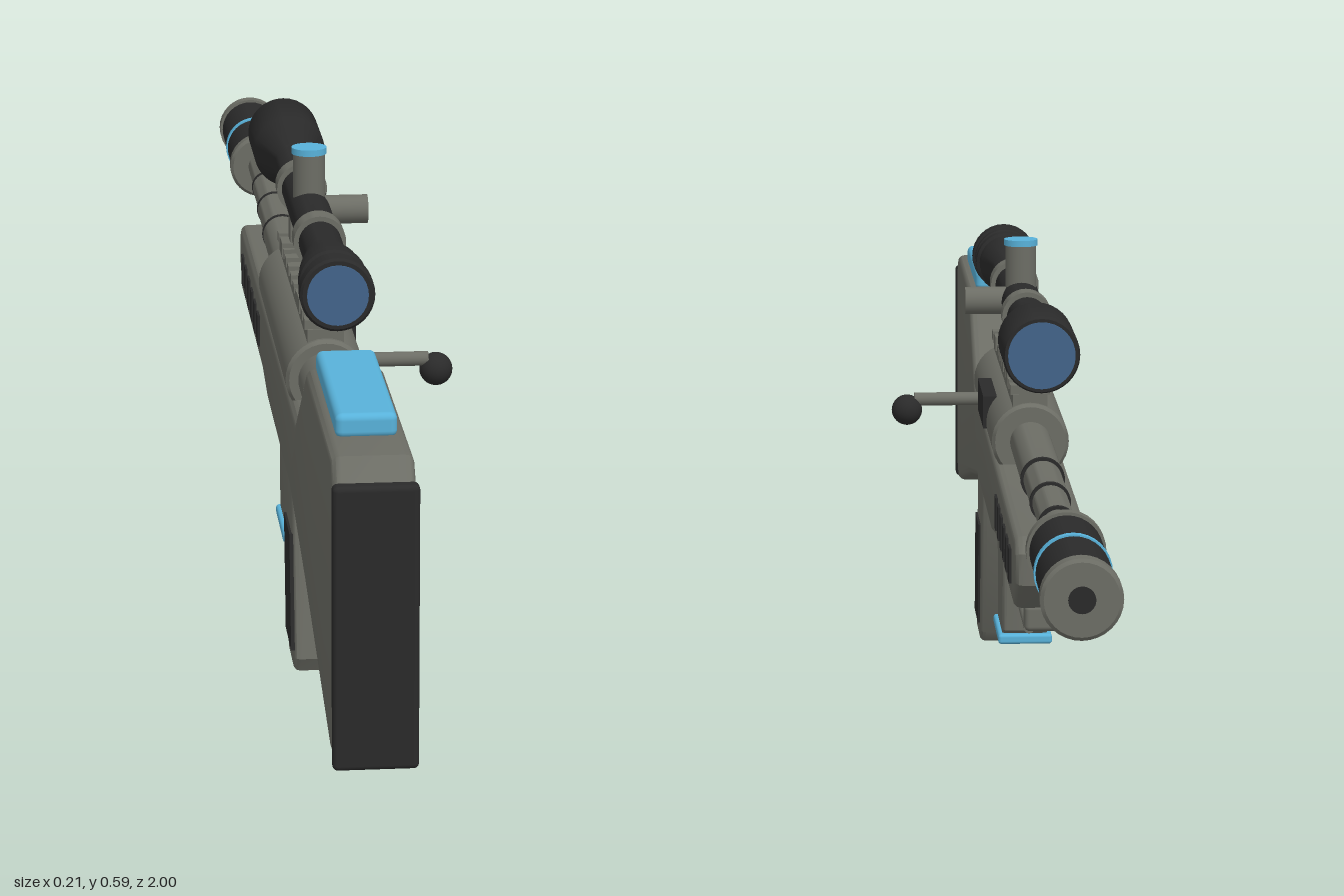
import * as THREE from 'three';
import { toCreasedNormals } from 'three/addons/utils/BufferGeometryUtils.js';
import { RoundedBoxGeometry } from 'three/addons/geometries/RoundedBoxGeometry.js';

const material = (name, color) => Object.assign(new THREE.MeshStandardMaterial({ color }), { name });

export function createModel() {
  const grey = material('gunmetal grey', 0x6c6d65);
  const black = material('matte black', 0x2a2a2a);
  const blue = material('accent blue', 0x58b2da);
  const glass = material('lens glass', 0x42648a);

  const model = new THREE.Group();
  model.name = 'rifle';
  const body = new THREE.Group();
  body.name = 'body';
  body.position.x = -0.058;
  model.add(body);

  const add = (name, geometry, mat, x = 0, y = 0, z = 0) => {
    const mesh = new THREE.Mesh(geometry, mat);
    mesh.name = name;
    mesh.position.set(x, y, z);
    body.add(mesh);
    return mesh;
  };
  // Solid turned around the z axis; profile is [z, radius] with z rising
  const turned = (name, profile, mat, y, x = 0) => {
    const first = profile[0], last = profile[profile.length - 1];
    const pts = [[first[0], 0], ...profile, [last[0], 0]].map(([z, r]) => new THREE.Vector2(r, z));
    return add(name, toCreasedNormals(new THREE.LatheGeometry(pts, 32).rotateX(Math.PI / 2), 0.6), mat, x, y);
  };
  const rod = (name, z0, z1, r, mat, y, x = 0) => turned(name, [[z0, r], [z1, r]], mat, y, x);
  // Side profile of [z, y] points, extruded across x
  const slab = (name, points, width, bevel, mat, x = 0) => {
    const shape = new THREE.Shape(points.map(([z, y]) => new THREE.Vector2(z, y)));
    const depth = width - 2 * bevel;
    const geometry = new THREE.ExtrudeGeometry(shape, {
      depth, bevelEnabled: bevel > 0, bevelSize: bevel, bevelThickness: bevel, bevelOffset: -bevel, bevelSegments: 3,
    });
    geometry.translate(0, 0, -depth / 2).rotateY(-Math.PI / 2);
    return add(name, toCreasedNormals(geometry, 0.6), mat, x);
  };
  const rounded = (name, w, h, d, r, mat, x, y, z) => add(name, new RoundedBoxGeometry(w, h, d, 3, r), mat, x, y, z);
  const box = (name, w, h, d, mat, x, y, z) => add(name, new THREE.BoxGeometry(w, h, d), mat, x, y, z);

  // Stock and fore-end in one piece
  slab('stock', [
    [0.983, 0.12], [0.983, 0.415], [0.955, 0.446], [0.62, 0.446], [0.555, 0.402], [0.455, 0.336],
    [-0.52, 0.328], [-0.537, 0.31], [-0.537, 0.272], [-0.495, 0.236], [-0.09, 0.236], [0, 0.222],
    [0.37, 0.222], [0.6, 0.18], [0.945, 0.104],
  ].reverse(), 0.09, 0.01, grey);
  rounded('recoilPad', 0.094, 0.322, 0.02, 0.006, black, 0, 0.264, 0.99);
  rounded('cheekRest', 0.068, 0.028, 0.26, 0.008, blue, 0, 0.457, 0.755);

  // Ventilation slots along both sides of the fore-end
  for (const side of [-1, 1])
    for (let i = 0; i < 6; i++) box('ventSlot', 0.005, 0.042, 0.027, black, side * 0.0455, 0.28, -0.152 - i * 0.0597);

  // Receiver, bolt and ejection port
  turned('receiver', [[-0.1, 0.045], [-0.095, 0.049], [0.365, 0.049], [0.37, 0.045]], grey, 0.36);
  turned('boltShroud', [[0.36, 0.034], [0.435, 0.034], [0.441, 0.029]], grey, 0.36);
  box('ejectionPort', 0.03, 0.042, 0.14, black, 0.038, 0.373, 0.11);
  const handle = add('boltHandle', new THREE.CylinderGeometry(0.009, 0.009, 0.1, 16), grey, 0.085, 0.352, 0.26);
  handle.rotation.z = Math.PI / 2;
  add('boltKnob', new THREE.SphereGeometry(0.0205, 24, 16), black, 0.145, 0.338, 0.258);

  // Scope rail with cross teeth
  box('railBase', 0.044, 0.018, 0.45, grey, 0, 0.411, 0.135);
  for (let i = 0; i < 11; i++) box('railTooth', 0.05, 0.012, 0.022, grey, 0, 0.425, 0.346 - i * 0.0423);

  // Stepped barrel
  const steps = [[-0.34, -0.09, 0.026], [-0.48, -0.34, 0.0235], [-0.61, -0.48, 0.0215], [-0.75, -0.61, 0.019]];
  steps.forEach(([z0, z1, r], i) => {
    rod('barrelSection', z0, z1, r, grey, 0.36);
    if (i < 3) rod('barrelRing', z0 - 0.004, z0 + 0.004, r + 0.001, black, 0.36);
  });

  // Suppressor
  turned('rearCollar', [[-0.755, 0.045], [-0.739, 0.045], [-0.735, 0.041]], grey, 0.36);
  rod('suppressor', -0.98, -0.75, 0.0415, black, 0.36);
  rod('suppressorBand', -0.867, -0.857, 0.0435, blue, 0.36);
  turned('muzzleCap', [[-0.999, 0.041], [-0.996, 0.045], [-0.978, 0.045]], grey, 0.36);
  rod('muzzleBore', -1, -0.998, 0.015, black, 0.36);

  // Scope body with ribbed eyepiece and wide objective
  const sy = 0.508;
  turned('scopeTube', [
    [-0.318, 0.045], [-0.314, 0.047], [-0.2, 0.047], [-0.125, 0.026], [0.365, 0.026], [0.425, 0.037],
    [0.455, 0.037], [0.458, 0.041], [0.475, 0.041], [0.478, 0.038], [0.488, 0.038], [0.491, 0.041],
    [0.503, 0.041], [0.505, 0.044], [0.526, 0.044], [0.529, 0.041],
  ], black, sy);
  rod('objectiveLens', -0.32, -0.317, 0.041, glass, sy);
  rod('eyepieceLens', 0.527, 0.531, 0.036, glass, sy);
  for (const z of [0.265, -0.008]) {
    rod('scopeRing', z - 0.016, z + 0.016, 0.032, grey, sy);
    box('scopeRingPost', 0.03, 0.07, 0.032, grey, 0, 0.455, z);
    box('scopeRingFoot', 0.052, 0.018, 0.036, grey, 0, 0.428, z);
  }

  // Adjustment turrets
  add('topTurret', new THREE.CylinderGeometry(0.02, 0.02, 0.06, 24), grey, 0, 0.551, 0.118);
  add('topTurretCap', new THREE.CylinderGeometry(0.022, 0.022, 0.008, 24), blue, 0, 0.585, 0.118);
  const turret = add('sideTurret', new THREE.CylinderGeometry(0.018, 0.018, 0.056, 24), grey, 0.045, sy, 0.118);
  turret.rotation.z = Math.PI / 2;

  // Pistol grip with side panels
  slab('grip', [[0.378, 0.235], [0.41, 0.018], [0.4, 0], [0.328, 0], [0.315, 0.015], [0.267, 0.235]], 0.087, 0.008, grey);
  for (const side of [-1, 1])
    slab('gripPanel', [[0.384, 0.17], [0.405, 0.028], [0.319, 0.028], [0.297, 0.17]], 0.008, 0, black, side * 0.0425);

  // Trigger guard and trigger
  slab('triggerGuard', [
    [0.3, 0.145], [0.3, 0.134], [0.165, 0.134], [0.142, 0.158], [0.142, 0.23], [0.152, 0.23], [0.152, 0.163], [0.169, 0.145],
  ], 0.026, 0, grey);
  slab('trigger', [[0.212, 0.23], [0.21, 0.18], [0.225, 0.162], [0.218, 0.156], [0.2, 0.172], [0.198, 0.23]], 0.014, 0, grey);

  // Magazine
  slab('magazine', [[0.122, 0.24], [0.117, 0.09], [0.11, 0.082], [0.014, 0.082], [0.007, 0.09], [0, 0.24]], 0.06, 0.006, grey);
  rounded('magazineBase', 0.07, 0.013, 0.125, 0.004, blue, 0, 0.079, 0.064);

  // Folded bipod
  rounded('bipodMount', 0.06, 0.032, 0.035, 0.006, grey, 0, 0.22, -0.467);
  for (const side of [-1, 1]) {
    rod('bipodLeg', -0.47, -0.18, 0.006, grey, 0.205, side * 0.024);
    rod('bipodFoot', -0.188, -0.168, 0.01, black, 0.205, side * 0.024);
  }

  return model;
}
